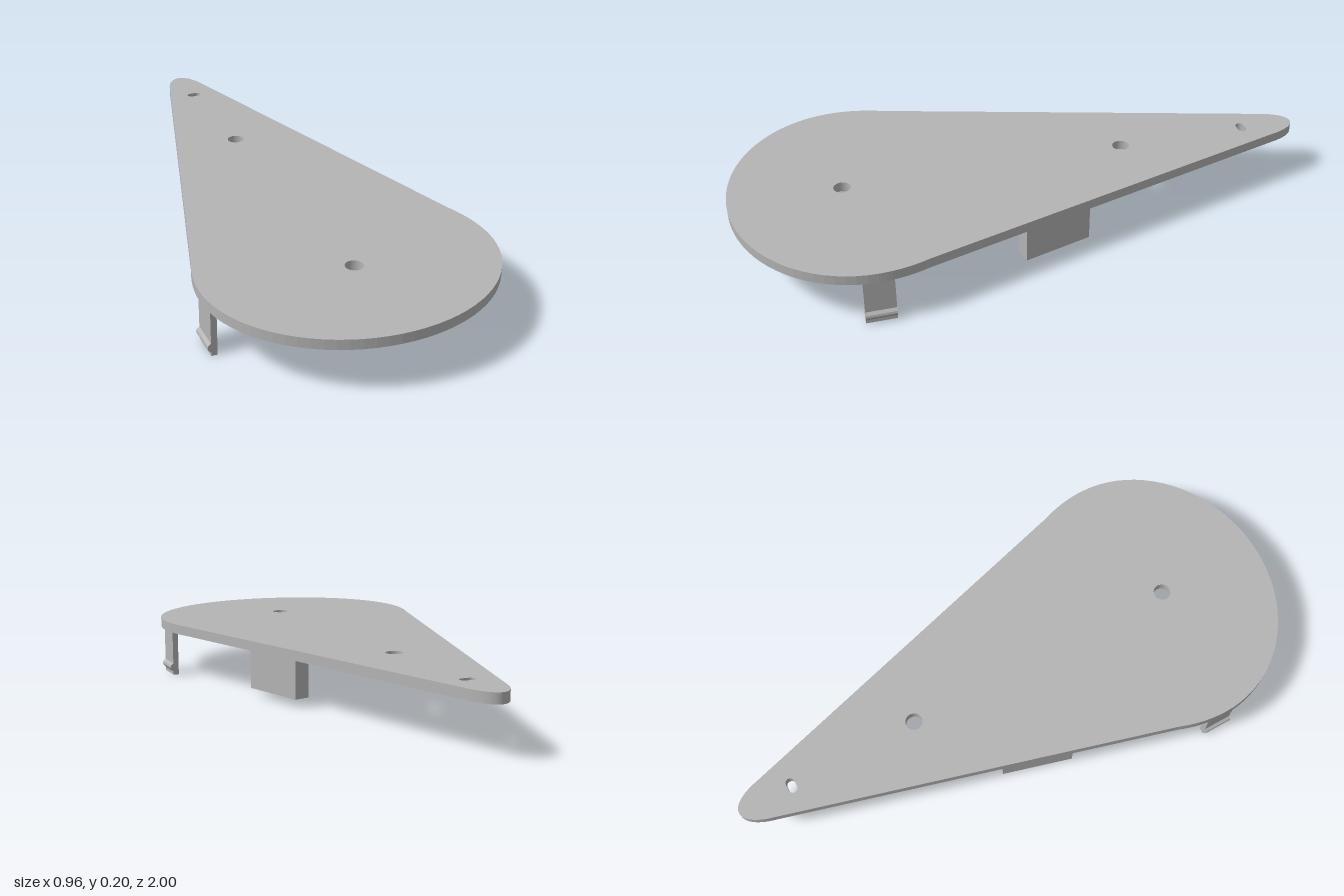
import * as THREE from 'three';

const UNDERSIDE = 0.163, TOP = 0.197;

// Teardrop outline, drawn with shape y = -z
function plateShape() {
  const s = new THREE.Shape();
  s.moveTo(0, 1);
  s.bezierCurveTo(-0.027, 1, -0.054, 0.965, -0.069, 0.905);
  s.lineTo(-0.449, -0.415);
  s.bezierCurveTo(-0.468, -0.465, -0.48, -0.52, -0.48, -0.58);
  s.absellipse(0, -0.58, 0.48, 0.42, Math.PI, 2 * Math.PI, false);
  s.bezierCurveTo(0.48, -0.52, 0.468, -0.465, 0.449, -0.415);
  s.lineTo(0.069, 0.905);
  s.bezierCurveTo(0.054, 0.965, 0.027, 1, 0, 1);

  // Two round holes
  for (const z of [-0.355, 0.622]) {
    const hole = new THREE.Path();
    hole.absarc(0, -z, 0.029, 0, Math.PI * 2, true);
    s.holes.push(hole);
  }
  // Small slot near the tip
  const slot = new THREE.Path();
  slot.absarc(0.011, 0.81, 0.015, Math.PI / 2, -Math.PI / 2, true);
  slot.absarc(-0.011, 0.81, 0.015, -Math.PI / 2, -Math.PI * 1.5, true);
  slot.closePath();
  s.holes.push(slot);
  return s;
}

export function createModel() {
  const group = new THREE.Group();
  const grey = new THREE.MeshStandardMaterial({ color: 0xb4b4b4 });
  grey.name = 'grey plastic';

  const add = (name, geometry) => {
    const mesh = new THREE.Mesh(geometry, grey);
    mesh.name = name;
    group.add(mesh);
    return mesh;
  };

  // Cover plate
  const plate = new THREE.ExtrudeGeometry(plateShape(), {
    depth: TOP - UNDERSIDE, bevelEnabled: false, curveSegments: 20,
  });
  plate.rotateX(-Math.PI / 2).translate(0, UNDERSIDE, 0);
  add('plate', plate);

  for (const side of [1, -1]) {
    const label = side > 0 ? 'left' : 'right';

    // Snap clip with a rounded catch on its outer face
    const profile = [
      [0.448, 0], [0.468, 0], [0.468, 0.012], [0.477, 0.022], [0.479, 0.029],
      [0.477, 0.036], [0.468, 0.044], [0.468, UNDERSIDE], [0.448, UNDERSIDE],
    ].map(([x, y]) => new THREE.Vector2(side * x, y));
    const clip = new THREE.ExtrudeGeometry(new THREE.Shape(profile), { depth: 0.1, bevelEnabled: false });
    clip.translate(0, 0, 0.53);
    add(label + 'Clip', clip);

    // Locating block, parallel to the tapered edge
    const height = UNDERSIDE - 0.027;
    const block = add(label + 'Block', new THREE.BoxGeometry(0.055, height, 0.245));
    block.position.set(side * 0.27, 0.027 + height / 2, -0.035);
    block.rotation.y = side * Math.atan(0.288);
  }
  return group;
}
